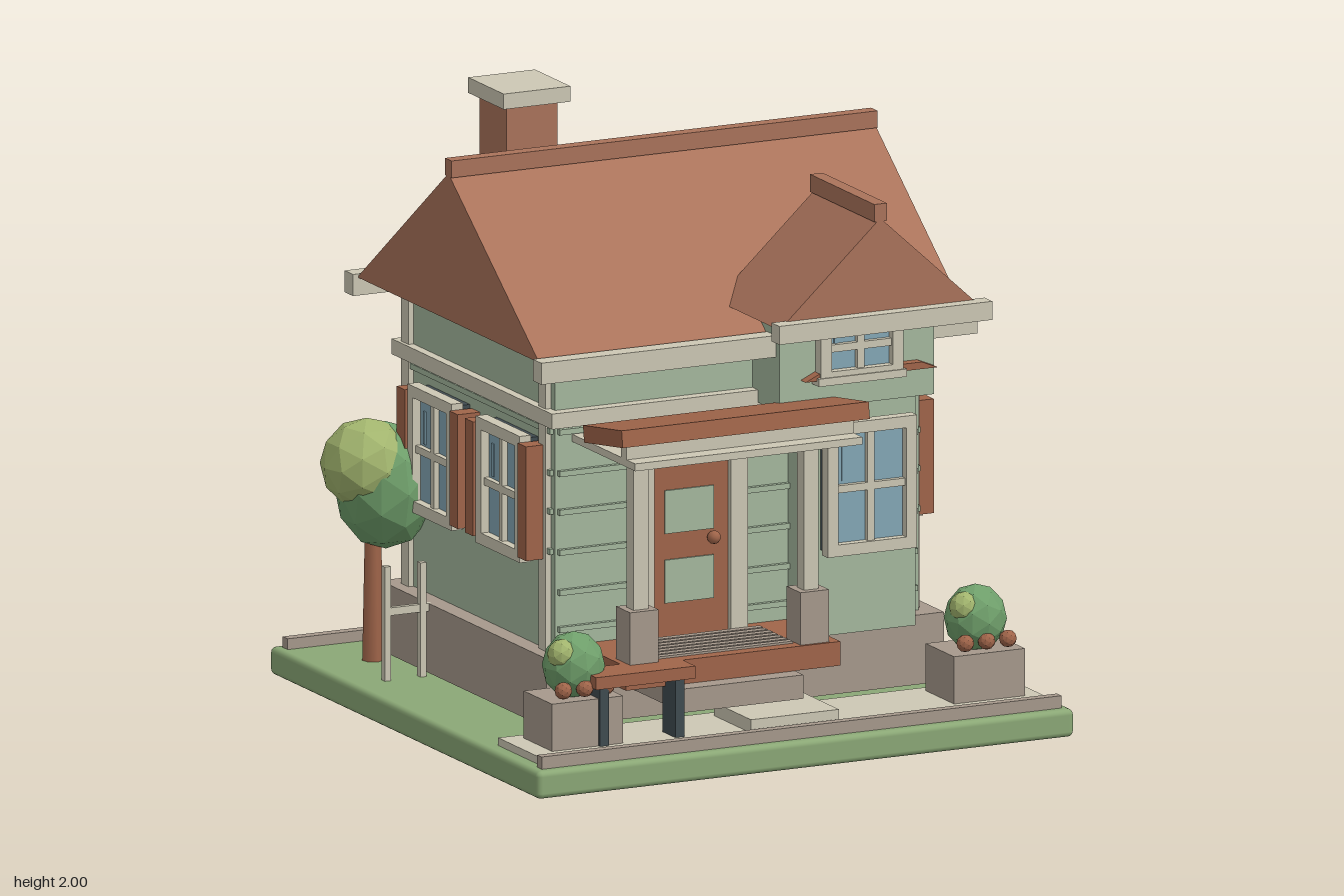
import * as THREE from 'three';
import { RoundedBoxGeometry } from 'three/addons/geometries/RoundedBoxGeometry.js';

const paint = (name, color) => Object.assign(new THREE.MeshStandardMaterial({ color }), { name });
const lawn = paint('lawn green', 0x8ba876), wall = paint('sage wall', 0xa5b89e), trim = paint('cream trim', 0xcdc8b4),
  stone = paint('warm stone', 0xa6998c), roof = paint('roof clay', 0xaa735b), wood = paint('red wood', 0xa0654a),
  glass = paint('window blue', 0x84a7b6), leaf = paint('leaf green', 0x6f9f6b), lightLeaf = paint('light leaf', 0xa2b56e),
  dark = paint('dark metal', 0x404b50);

export function createModel() {
  const model = new THREE.Group();
  model.name = 'cottage';

  function add(parent, name, geometry, material, x = 0, y = 0, z = 0) {
    const mesh = new THREE.Mesh(geometry, material);
    mesh.name = name;
    mesh.position.set(x, y, z);
    parent.add(mesh);
    return mesh;
  }
  // Box given by its lower and upper limits on each axis
  function box(name, material, x0, x1, y0, y1, z0, z1, parent = model) {
    return add(parent, name, new THREE.BoxGeometry(x1 - x0, y1 - y0, z1 - z0), material,
      (x0 + x1) / 2, (y0 + y1) / 2, (z0 + z1) / 2);
  }
  // Faceted ball of foliage
  function foliage(name, material, x, y, z, r, stretch = 1, detail = 1) {
    const geometry = new THREE.IcosahedronGeometry(r, detail).scale(1, stretch, 1);
    geometry.computeVertexNormals();
    return add(model, name, geometry, material, x, y, z);
  }
  // Triangular roof block with its ridge along z, from z = 0 to depth
  function gable(half, rise, depth) {
    const s = new THREE.Shape([new THREE.Vector2(-half, 0), new THREE.Vector2(half, 0), new THREE.Vector2(0, rise)]);
    return new THREE.ExtrudeGeometry(s, { depth, bevelEnabled: false });
  }
  // Window facing local +z, standing on the wall plane z = 0
  function windowUnit(x, y, z, w, h, turn = 0, shutters = true) {
    const g = new THREE.Group();
    g.name = 'window';
    g.position.set(x, y, z);
    g.rotation.y = turn;
    model.add(g);
    const a = w / 2, b = h / 2, t = 0.038;
    box('windowBacking', dark, -a + 0.01, a - 0.01, -b + 0.01, b - 0.01, -0.01, 0.032, g);
    box('pane', glass, -a + t, a - t, -b + t, b - t, 0.034, 0.042, g);
    for (const s of [-1, 1]) {
      const cx = s * (a - t / 2), cy = s * (b - t / 2);
      box('frameSide', trim, cx - t / 2, cx + t / 2, -b, b, 0.03, 0.07, g);
      box('frameRail', trim, -a + t, a - t, cy - t / 2, cy + t / 2, 0.03, 0.07, g);
      if (shutters) {
        const sx = s * (a + 0.031);
        box('shutter', wood, sx - 0.029, sx + 0.029, -0.185, 0.185, 0, 0.078, g);
      }
    }
    box('mullion', trim, -0.012, 0.012, -b + t, b - t, 0.04, 0.06, g);
    box('crossbar', trim, -a + t, a - t, -0.012, 0.012, 0.04, 0.06, g);
    box('paneGlint', glass, -a * 0.6, -a * 0.5, b * 0.1, b * 0.62, 0.042, 0.046, g);
  }

  // Plot, paving and kerbs
  add(model, 'lawnBase', new RoundedBoxGeometry(1.89, 0.09, 1.89, 2, 0.018), lawn, -0.005, 0.045, -0.005);
  box('terrace', trim, -0.9, 0.89, 0.085, 0.115, 0.56, 0.895);
  box('frontKerb', stone, -0.92, 0.91, 0.085, 0.13, 0.875, 0.907);
  box('backKerb', stone, -0.92, 0.91, 0.085, 0.125, -0.915, -0.88);
  box('lowerStep', trim, -0.16, 0.15, 0.11, 0.158, 0.6, 0.86);
  box('upperStep', stone, -0.37, 0.055, 0.19, 0.267, 0.45, 0.8);

  // House body
  box('foundation', stone, -0.68, 0.72, 0.1, 0.325, -0.71, 0.46);
  box('walls', wall, -0.62, 0.66, 0.32, 1.3, -0.66, 0.4);
  box('beltTrim', trim, -0.65, 0.69, 1.06, 1.11, -0.69, 0.44);
  box('bay', wall, 0.2, 0.57, 0.32, 1.07, 0.39, 0.56);
  for (const y of [0.4, 0.52, 0.65, 0.78, 0.905, 1.04]) {
    box('frontBackSiding', wall, -0.61, 0.65, y - 0.009, y + 0.009, -0.675, 0.415);
    if (y > 0.6) box('sideSiding', wall, -0.633, 0.673, y - 0.009, y + 0.009, -0.65, 0.39);
  }
  for (const z of [-0.62, 0.345]) box('sideCornerBoard', trim, -0.638, 0.678, 0.32, 1.29, z - 0.026, z + 0.026);
  for (const x of [-0.59, 0.63]) box('backCornerBoard', trim, x - 0.026, x + 0.026, 0.32, 1.29, -0.68, -0.64);

  // Main roof, eaves and chimney
  const main = add(model, 'mainRoof', gable(0.64, 0.475, 1.5), roof, -0.73, 1.3, -0.13);
  main.rotation.y = Math.PI / 2;
  box('mainRidge', roof, -0.73, 0.77, 1.765, 1.82, -0.153, -0.107);
  for (const z of [0.535, -0.79]) box('eaveBoard', trim, -0.75, 0.785, 1.243, 1.313, z - 0.03, z + 0.03);
  box('chimney', roof, -0.49, -0.31, 1.4, 1.95, -0.39, -0.2);
  box('chimneyCap', trim, -0.515, -0.28, 1.95, 2, -0.42, -0.17);

  // Dormer
  box('dormerWall', wall, 0.075, 0.62, 1.07, 1.385, 0.3, 0.59);
  add(model, 'dormerRoof', gable(0.355, 0.325, 0.45), roof, 0.348, 1.38, 0.305);
  box('dormerRidge', roof, 0.326, 0.37, 1.695, 1.752, 0.305, 0.757);
  box('dormerEaveBoard', trim, -0.03, 0.72, 1.345, 1.405, 0.745, 0.8);
  windowUnit(0.345, 1.265, 0.565, 0.29, 0.22, 0, false);
  box('dormerSill', trim, 0.19, 0.5, 1.15, 1.175, 0.585, 0.64);
  const hood = new THREE.Shape([[0.15, 1.165], [0.615, 1.165], [0.56, 1.188], [0.2, 1.188]].map(p => new THREE.Vector2(...p)));
  add(model, 'bayHood', new THREE.ExtrudeGeometry(hood, { depth: 0.05, bevelEnabled: false }), wood, 0, 0, 0.575);

  // Windows on the bay, both sides and the back
  windowUnit(0.383, 0.805, 0.56, 0.315, 0.43, 0, false);
  for (const z of [0.137, -0.343]) {
    windowUnit(0.66, 0.805, z, 0.31, 0.41, Math.PI / 2);
    windowUnit(-0.62, 0.805, z, 0.31, 0.41, -Math.PI / 2);
  }
  for (const x of [0.31, -0.27]) windowUnit(x, 0.805, -0.66, 0.31, 0.41, Math.PI);

  // Front door
  box('door', wood, -0.3, -0.03, 0.345, 0.93, 0.39, 0.44);
  for (const y of [0.525, 0.75]) box('doorPanel', wall, -0.255, -0.083, y - 0.07, y + 0.07, 0.438, 0.446);
  for (const x of [-0.33, 0]) box('doorFrame', trim, x - 0.03, x + 0.03, 0.345, 0.98, 0.39, 0.46);
  box('doorHeader', dark, -0.3, -0.03, 0.93, 0.95, 0.39, 0.45);
  box('transom', glass, -0.3, -0.03, 0.95, 1.01, 0.39, 0.435);
  box('transomBar', trim, -0.177, -0.153, 0.95, 1.01, 0.43, 0.445);
  add(model, 'doorKnob', new THREE.IcosahedronGeometry(0.022, 1), wood, -0.09, 0.655, 0.46);

  // Porch
  box('porchDeck', wood, -0.54, 0.215, 0.267, 0.345, 0.4, 0.74);
  for (let i = 0; i < 7; i++) box('deckSlat', stone, -0.42, 0.07, 0.344, 0.352, 0.46 + i * 0.035, 0.485 + i * 0.035);
  for (const x of [-0.47, 0.13]) {
    box('postBase', stone, x - 0.05, x + 0.05, 0.31, 0.515, 0.63, 0.73);
    box('porchPost', trim, x - 0.026, x + 0.026, 0.5, 1.01, 0.655, 0.705);
  }
  box('porchCeiling', trim, -0.56, 0.24, 1.003, 1.027, 0.4, 0.845);
  box('porchBeam', trim, -0.56, 0.24, 1.01, 1.085, 0.745, 0.785);
  const porchRoof = box('porchRoof', wood, -0.6, 0.27, 1.06, 1.115, 0.56, 0.835);
  porchRoof.rotation.x = -0.15;

  // Bench
  box('benchSeat', wood, -0.69, -0.34, 0.305, 0.345, 0.7, 0.83);
  for (const x of [-0.65, -0.385]) box('benchLeg', dark, x - 0.016, x + 0.016, 0.115, 0.305, 0.72, 0.81);

  // Planters with shrubs and flowers
  for (const [x, z, r] of [[-0.705, 0.7, 0.1], [0.71, 0.7, 0.1], [0.72, -0.655, 0.115]]) {
    box('planter', stone, x - 0.125, x + 0.125, 0.115, 0.268, z - 0.1, z + 0.1);
    foliage('shrub', leaf, x, 0.36, z, r, 1.1);
    if (z < 0) continue;
    foliage('shrubHighlight', lightLeaf, x - 0.05, 0.405, z + 0.025, 0.05);
    for (const dx of [-0.078, -0.003, 0.072]) foliage('flower', wood, x + dx, 0.303, 0.785, 0.028);
  }

  // Back hedge
  for (let i = 0; i < 6; i++) foliage('hedgeBall', i % 2 ? lightLeaf : leaf, -0.43 + i * 0.164, 0.22, -0.81, 0.1);

  // Tree
  add(model, 'treeTrunk', new THREE.CylinderGeometry(0.025, 0.035, 0.5, 7), wood, -0.74, 0.33, -0.64);
  foliage('treeCrown', leaf, -0.71, 0.66, -0.61, 0.165, 1.25);
  foliage('treeCrownLight', lightLeaf, -0.775, 0.735, -0.615, 0.148);

  // Small side rail
  for (const x of [-0.825, -0.7]) box('railPost', trim, x - 0.011, x + 0.011, 0.085, 0.46, -0.388, -0.364);
  box('railBar', trim, -0.83, -0.67, 0.3, 0.325, -0.385, -0.367);

  return model;
}
